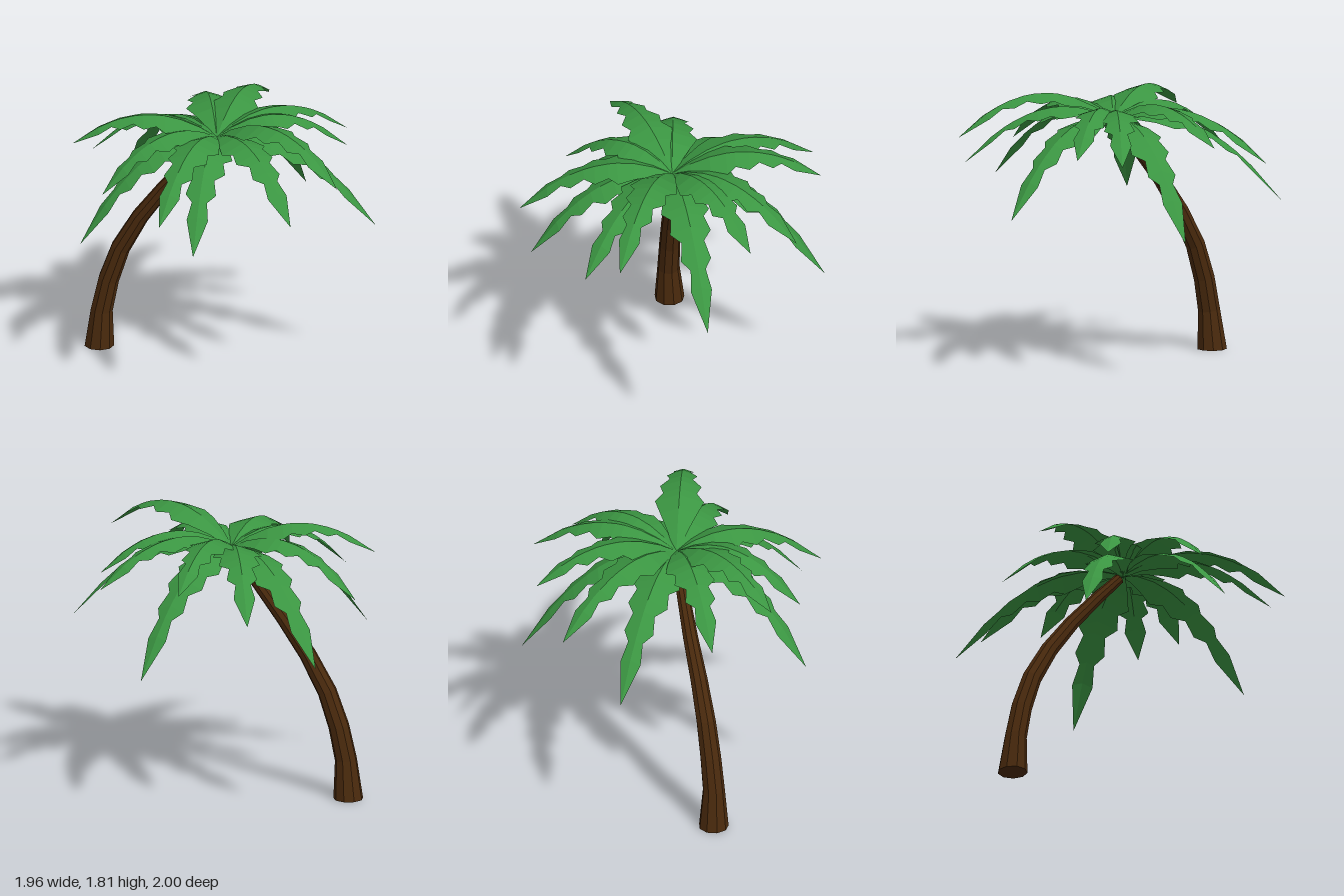
import * as THREE from 'three';

const leafGreen = new THREE.MeshStandardMaterial({ color: 0x3b9642, side: THREE.DoubleSide });
leafGreen.name = 'leafGreen';
const barkBrown = new THREE.MeshStandardMaterial({ color: 0x4a2a0d });
barkBrown.name = 'barkBrown';

const HUB = new THREE.Vector3(-0.04, 1.61, 0.07);

// Trunk stations from the ground up: x, y, z, radius
const STATIONS = [
  [-0.785, 0, -0.305, 0.098],
  [-0.77, 0.26, -0.29, 0.073],
  [-0.725, 0.48, -0.275, 0.069],
  [-0.65, 0.71, -0.245, 0.064],
  [-0.525, 0.95, -0.19, 0.057],
  [-0.37, 1.18, -0.12, 0.05],
  [-0.205, 1.4, -0.03, 0.043],
  [-0.06, 1.58, 0.05, 0.036],
];

// Frond tips: x, y, z and an optional initial rise
const TIPS = [
  [-0.54, 1.06, -0.91],
  [-0.09, 1.38, -1.0],
  [0.35, 1.54, -0.82],
  [0.59, 0.94, -0.72],
  [0.84, 1.46, -0.38],
  [0.82, 1.48, -0.05],
  [0.98, 1.08, 0.35],
  [0.70, 1.55, 0.85, 0.87],
  [0.39, 1.33, 0.94],
  [-0.25, 1.16, 1.0],
  [-0.47, 1.36, 0.97],
  [-0.95, 1.0, 0.37],
  [-0.81, 1.38, 0.45],
  [-0.98, 1.57, 0.03],
  [-0.83, 1.36, -0.36],
];

// Toothed frond outline: fraction of the length, half width
const OUTLINE = [
  [0, 0.015], [0.12, 0.065], [0.25, 0.12], [0.36, 0.16], [0.42, 0.11], [0.51, 0.135],
  [0.58, 0.075], [0.67, 0.1], [0.73, 0.05], [0.82, 0.07], [1, 0],
];

// Cylinder whose rings are moved onto the trunk stations, square to the curve
function makeTrunk() {
  const n = STATIONS.length - 1;
  const centres = STATIONS.map(([x, y, z]) => new THREE.Vector3(x, y, z));
  const up = new THREE.Vector3(0, 1, 0);
  const turns = centres.map((c, i) => {
    const q = new THREE.Quaternion();
    if (i === 0) return q;
    const along = centres[Math.min(i + 1, n)].clone().sub(centres[i - 1]).normalize();
    return q.setFromUnitVectors(up, along);
  });
  const geometry = new THREE.CylinderGeometry(1, 1, 1, 9, n).toNonIndexed();
  const pos = geometry.attributes.position;
  const v = new THREE.Vector3();
  for (let i = 0; i < pos.count; i++) {
    v.fromBufferAttribute(pos, i);
    const ring = Math.round((v.y + 0.5) * n);
    v.y = 0;
    v.multiplyScalar(STATIONS[ring][3]).applyQuaternion(turns[ring]).add(centres[ring]);
    pos.setXYZ(i, v.x, v.y, v.z);
  }
  geometry.computeVertexNormals();
  const trunk = new THREE.Mesh(geometry, barkBrown);
  trunk.name = 'trunk';
  return trunk;
}

// Arching leaf with a raised midrib and drooping toothed edges
function makeFrond([x, y, z, rise]) {
  const dx = x - HUB.x, dy = y - HUB.y, dz = z - HUB.z;
  const a = rise ?? 0.33 + 0.62 * (y - 1);
  const side = new THREE.Vector3(dz, 0, -dx).normalize();
  const rows = OUTLINE.map(([t, w]) => {
    const rib = new THREE.Vector3(dx * t, a * t + (dy - a) * t * t, dz * t).add(HUB);
    const edge = (s) => {
      const p = rib.clone().addScaledVector(side, s * w);
      p.y -= 0.35 * w;
      return p;
    };
    return { rib, left: edge(1), right: edge(-1) };
  });
  const points = [];
  for (let i = 0; i < rows.length - 1; i++) {
    const p = rows[i], q = rows[i + 1];
    points.push(p.rib, q.rib, p.left, p.rib, p.right, q.rib);
    if (i < rows.length - 2) {
      points.push(q.rib, q.left, p.left, p.right, q.right, q.rib);
    }
  }
  const geometry = new THREE.BufferGeometry().setFromPoints(points);
  geometry.computeVertexNormals();
  return new THREE.Mesh(geometry, leafGreen);
}

export function createModel() {
  const model = new THREE.Group();
  model.name = 'palmTree';
  model.add(makeTrunk());

  const crown = new THREE.Group();
  crown.name = 'crown';
  TIPS.forEach((tip, i) => {
    const frond = makeFrond(tip);
    frond.name = `frond${i + 1}`;
    crown.add(frond);
  });
  model.add(crown);
  return model;
}
